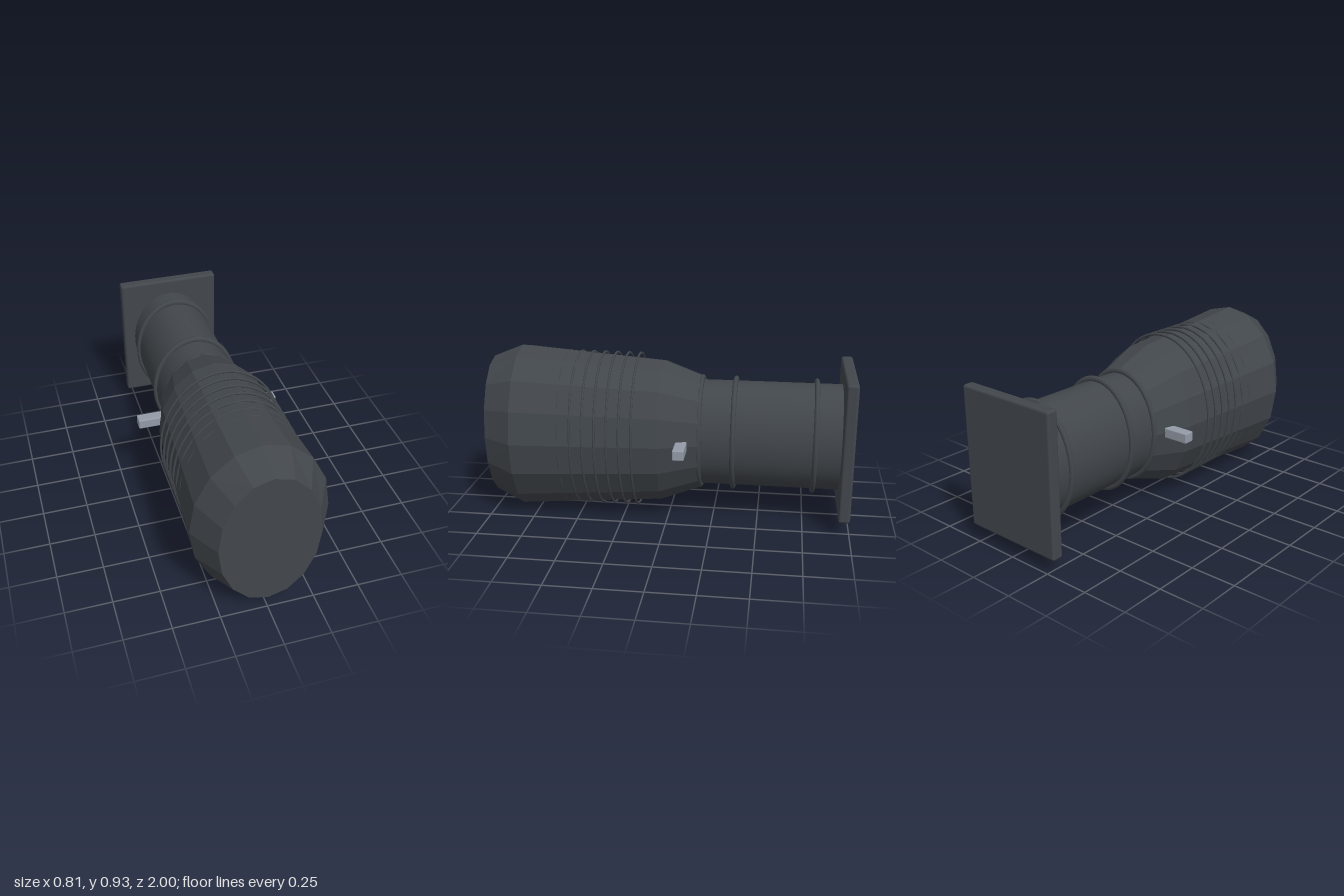
import * as THREE from 'three';
import { RoundedBoxGeometry } from 'three/addons/geometries/RoundedBoxGeometry.js';

const AXIS_Y = 0.468; // height of the long axis

// Closed faceted loft through elliptical sections [z, rx, ry], listed front to back
function loftGeometry(sections, sides) {
  const pos = [];
  const point = ([z, rx, ry], i) => {
    const a = (i / sides) * Math.PI * 2;
    return [rx * Math.sin(a), ry * Math.cos(a), z];
  };
  const tri = (a, b, c) => pos.push(...a, ...b, ...c);
  const first = sections[0], last = sections[sections.length - 1];
  for (let i = 0; i < sides; i++) {
    for (let s = 0; s < sections.length - 1; s++) {
      const a = point(sections[s], i), b = point(sections[s], i + 1);
      const c = point(sections[s + 1], i), d = point(sections[s + 1], i + 1);
      tri(a, b, c);
      tri(b, d, c);
    }
    tri([0, 0, first[0]], point(first, i + 1), point(first, i));
    tri([0, 0, last[0]], point(last, i), point(last, i + 1));
  }
  const geo = new THREE.BufferGeometry();
  geo.setAttribute('position', new THREE.Float32BufferAttribute(pos, 3));
  geo.computeVertexNormals();
  return geo;
}

// Elliptical hoop, sized by its outer radii
function hoopGeometry(rx, ry, tube) {
  return new THREE.TorusGeometry(rx - tube, tube, 10, 64).scale(1, ry / rx, 1);
}

export function createModel() {
  const model = new THREE.Group();
  model.name = 'model';

  const casing = new THREE.MeshStandardMaterial({ color: 0x42474c });
  casing.name = 'dark grey casing';
  const metal = new THREE.MeshStandardMaterial({ color: 0x949ba8 });
  metal.name = 'light grey metal';

  const add = (name, geometry, material, z) => {
    const mesh = new THREE.Mesh(geometry, material);
    mesh.name = name;
    mesh.position.set(0, AXIS_Y, z);
    model.add(mesh);
  };

  // Faceted oval head, widest near the front
  add('head', loftGeometry([
    [1, 0.264, 0.398],
    [0.835, 0.362, 0.466],
    [0.04, 0.312, 0.403],
    [-0.182, 0.248, 0.32],
  ], 16), casing, 0);

  // Thin ribs of one size around the tapering head
  for (let i = 0; i < 8; i++) {
    add('rib' + (i + 1), hoopGeometry(0.343, 0.441, 0.006), casing, 0.175 + i * 0.0665);
  }

  // Smooth oval neck
  const neck = new THREE.CylinderGeometry(1, 1, 0.8, 64).rotateX(Math.PI / 2).scale(0.231, 0.297, 1);
  add('neck', neck, casing, -0.55);

  // Hoops along the neck, the first half sunk in the head
  [-0.174, -0.358, -0.798].forEach((z, i) => {
    add('neckHoop' + (i + 1), hoopGeometry(0.25, 0.325, 0.014), casing, z);
  });

  // Rectangular mounting plate at the back
  add('backPlate', new RoundedBoxGeometry(0.596, 0.768, 0.064, 3, 0.014), casing, -0.968);

  // Cross pin showing on both sides
  add('crossPin', new RoundedBoxGeometry(0.81, 0.057, 0.062, 2, 0.007), metal, -0.086);

  return model;
}
